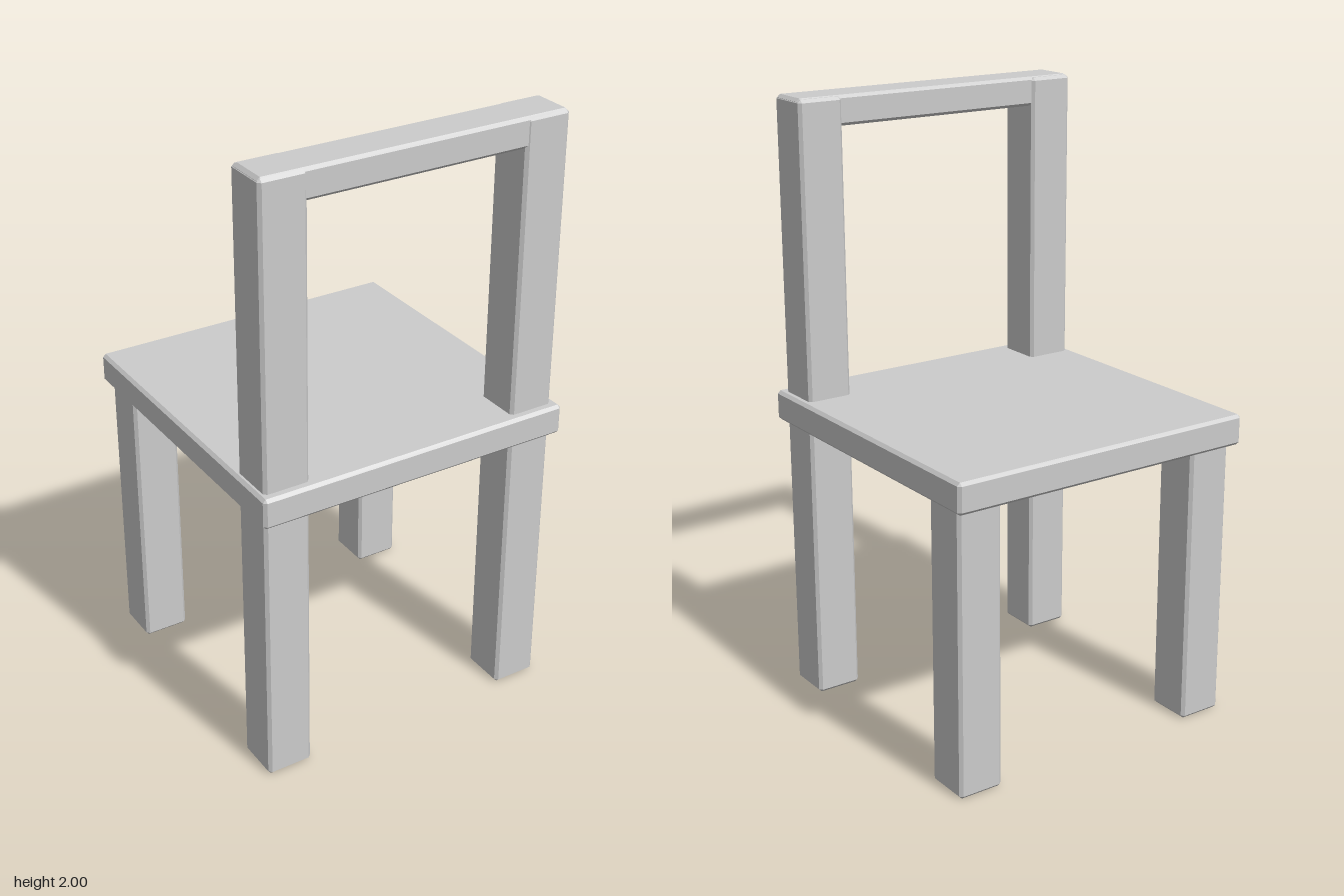
import * as THREE from 'three';
import { ConvexGeometry } from 'three/addons/geometries/ConvexGeometry.js';

const material = new THREE.MeshStandardMaterial({ color: 0xcccccc, flatShading: true });

// Box between two corners with a small flat chamfer on every edge
function chamferedBox(name, [x0, y0, z0], [x1, y1, z1], c = 0.01) {
  const half = [(x1 - x0) / 2, (y1 - y0) / 2, (z1 - z0) / 2];
  const points = [];
  for (const sx of [-1, 1]) for (const sy of [-1, 1]) for (const sz of [-1, 1]) {
    // each corner becomes three points, one on each adjoining face
    for (let face = 0; face < 3; face++) {
      const p = [sx, sy, sz].map((s, i) => s * (half[i] - (i === face ? 0 : c)));
      points.push(new THREE.Vector3(...p));
    }
  }
  const mesh = new THREE.Mesh(new ConvexGeometry(points), material);
  mesh.name = name;
  mesh.position.set((x0 + x1) / 2, (y0 + y1) / 2, (z0 + z1) / 2);
  return mesh;
}

export function createModel() {
  const chair = new THREE.Group();
  chair.name = 'chair';

  // Seat slab
  chair.add(chamferedBox('seat', [-0.535, 0.935, -0.535], [0.535, 1.035, 0.535]));

  // Short legs under the seat and tall posts that carry the backrest
  for (const [side, x] of [['right', -0.442], ['left', 0.436]]) {
    const x0 = x - 0.076, x1 = x + 0.076;
    chair.add(chamferedBox(side + 'ShortLeg', [x0, 0, -0.497], [x1, 0.985, -0.343]));
    chair.add(chamferedBox(side + 'BackrestPost', [x0, 0, 0.352], [x1, 1.997, 0.506]));
  }

  // Rail across the top of the posts
  chair.add(chamferedBox('backrestRail', [-0.516, 1.904, 0.361], [0.51, 2, 0.503]));

  return chair;
}
